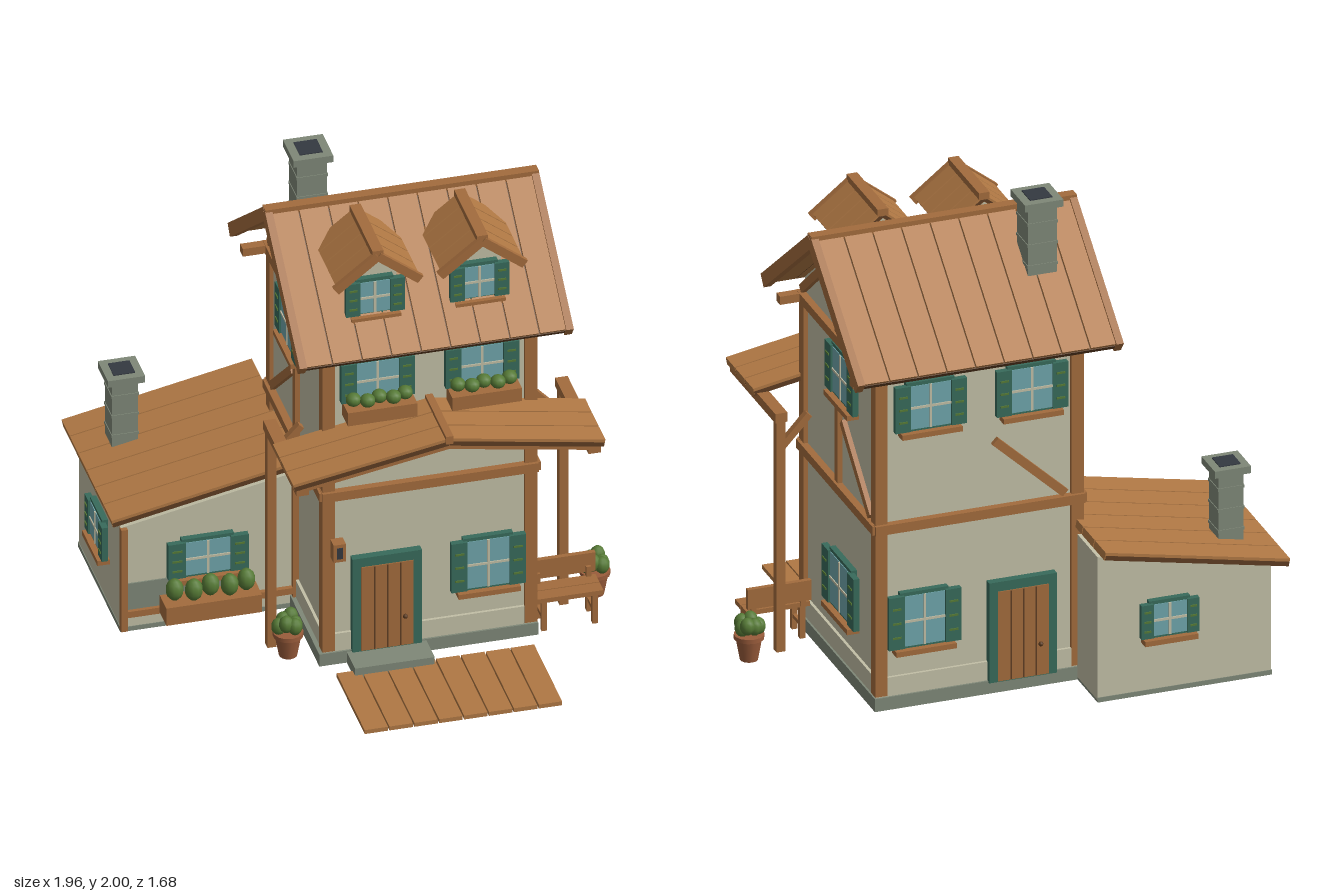
import * as THREE from 'three';

const mat = (name, color, side = THREE.FrontSide) => {
  const m = new THREE.MeshStandardMaterial({ color, side });
  m.name = name;
  return m;
};
const plaster = mat('plaster', 0xc2bfa6), wood = mat('timber', 0xa36c3d), roofWood = mat('roofWood', 0xb07844);
const darkWood = mat('darkWood', 0x5e3d22), stone = mat('stone', 0x7f8878), soot = mat('soot', 0x343941);
const teal = mat('tealPaint', 0x386b5b), glass = mat('glass', 0x6fa5ab), leaf = mat('leaf', 0x567a36);
const clay = mat('clay', 0x9a5c3b);

const group = (parent, name) => {
  const g = new THREE.Group();
  g.name = name;
  parent.add(g);
  return g;
};
const add = (parent, name, geo, m, x = 0, y = 0, z = 0) => {
  const mesh = new THREE.Mesh(geo, m);
  mesh.name = name;
  mesh.position.set(x, y, z);
  parent.add(mesh);
  return mesh;
};
const box = (p, name, m, w, h, d, x, y, z) => add(p, name, new THREE.BoxGeometry(w, h, d), m, x, y, z);
// Box given by its minimum and maximum corners
const span = (p, name, m, x0, x1, y0, y1, z0, z1) =>
  box(p, name, m, x1 - x0, y1 - y0, z1 - z0, (x0 + x1) / 2, (y0 + y1) / 2, (z0 + z1) / 2);
// Timber between two points of an xy plane
const bar = (p, name, x0, y0, x1, y1, w = 0.035, d = 0.03, z = 0.005) => {
  const b = box(p, name, wood, Math.hypot(x1 - x0, y1 - y0), w, d, (x0 + x1) / 2, (y0 + y1) / 2, z);
  b.rotation.z = Math.atan2(y1 - y0, x1 - x0);
  return b;
};
const prism = (p, name, m, pts, depth) => {
  const shape = new THREE.Shape(pts.map(([x, y]) => new THREE.Vector2(x, y)));
  return add(p, name, new THREE.ExtrudeGeometry(shape, { depth, bevelEnabled: false }), m);
};

// Sloping planks over a dark backing; (h, y) runs from a to b, planks repeat along the axis
function slope(parent, name, axis, a, b, from, to, n, t) {
  const g = group(parent, name);
  const dh = b[0] - a[0], dy = b[1] - a[1], L = Math.hypot(dh, dy);
  const h = (a[0] + b[0]) / 2, y = (a[1] + b[1]) / 2, step = (to - from) / n;
  const slab = (label, m, c, w, len, thick, drop) => {
    const onX = axis === 'x';
    const s = onX ? box(g, label, m, w, thick, len, c, y - drop, h) : box(g, label, m, len, thick, w, h, y - drop, c);
    if (onX) s.rotation.x = Math.atan2(-dy, dh);
    else s.rotation.z = Math.atan2(dy, dh);
  };
  slab('roofBacking', darkWood, (from + to) / 2, to - from - 0.004, L - 0.004, t * 0.6, t * 0.2);
  for (let i = 0; i < n; i++) slab('roofPlank', roofWood, from + (i + 0.5) * step, step - 0.006, L, t, 0);
  return g;
}

// Wall frame whose local +z points outward
function wall(parent, name, x, z, turn) {
  const g = group(parent, name);
  g.position.set(x, 0, z);
  g.rotation.y = turn;
  return g;
}

function bushes(parent, cx, y, z, n, gap, r, tall) {
  for (let i = 0; i < n; i++) {
    const b = add(parent, 'bush', new THREE.SphereGeometry(r, 10, 7), leaf, cx + (i - (n - 1) / 2) * gap, y, z + (i % 2 ? 0.012 : -0.008));
    b.scale.y = tall;
  }
}

// Shuttered window; w is the pane width, y0..y1 the full height
function windowUnit(parent, x, y0, y1, w, shutter, flowers = false) {
  const g = group(parent, 'window');
  g.position.set(x, 0, 0);
  const h = y1 - y0, cy = (y0 + y1) / 2;
  box(g, 'windowFrame', teal, w + 0.03, h, 0.03, 0, cy, 0.01);
  box(g, 'pane', glass, w, h - 0.03, 0.008, 0, cy, 0.024);
  box(g, 'mullion', plaster, 0.01, h - 0.03, 0.008, 0, cy, 0.028);
  box(g, 'glazingBar', plaster, w, 0.01, 0.008, 0, cy, 0.028);
  for (const s of [-1, 1]) {
    const sx = s * (w / 2 + shutter / 2);
    box(g, 'shutter', teal, shutter, h - 0.02, 0.025, sx, cy, 0.024);
    for (let i = -1; i <= 1; i++) box(g, 'slat', leaf, shutter * 0.55, 0.008, 0.006, sx, cy + i * h * 0.25, 0.037);
  }
  if (flowers) {
    box(g, 'flowerBox', wood, w + 0.11, 0.06, 0.09, 0, y0 - 0.02, 0.06);
    bushes(g, 0, y0 + 0.035, 0.06, 5, 0.052, 0.031, 0.9);
  } else box(g, 'sill', wood, w + 0.08, 0.022, 0.05, 0, y0 - 0.005, 0.025);
}

function door(parent, x) {
  const g = group(parent, 'door');
  g.position.x = x;
  box(g, 'doorFrame', teal, 0.28, 0.43, 0.04, 0, 0.265, 0.012);
  box(g, 'doorLeaf', wood, 0.21, 0.385, 0.02, 0, 0.247, 0.026);
  for (let i = -1; i <= 1; i++) box(g, 'doorSeam', darkWood, 0.005, 0.38, 0.004, i * 0.052, 0.247, 0.036);
  add(g, 'doorKnob', new THREE.SphereGeometry(0.01, 8, 6), darkWood, 0.07, 0.19, 0.042);
}

function chimney(parent, x, z, y0, y1, w, cap) {
  const g = group(parent, 'chimney');
  box(g, 'chimneyStack', stone, w, y1 - y0 - 0.02, w, x, (y0 + y1 - 0.02) / 2, z);
  for (let y = y0 + 0.08; y < y1 - 0.06; y += 0.09) box(g, 'stoneCourse', stone, w + 0.006, 0.012, w + 0.006, x, y, z);
  box(g, 'chimneyCap', stone, cap, 0.03, cap, x, y1 - 0.018, z);
  box(g, 'flue', soot, cap * 0.58, 0.006, cap * 0.58, x, y1 - 0.002, z);
}

function pottedPlant(parent, x, z) {
  const g = group(parent, 'pottedPlant');
  g.position.set(x, 0, z);
  add(g, 'pot', new THREE.CylinderGeometry(0.054, 0.036, 0.1, 14), clay, 0, 0.05, 0);
  add(g, 'potRim', new THREE.CylinderGeometry(0.06, 0.06, 0.018, 14), clay, 0, 0.1, 0);
  for (let i = 0; i < 6; i++) {
    const a = i * Math.PI / 3, r = i % 2 ? 0.038 : 0.028;
    const b = add(g, 'leaves', new THREE.SphereGeometry(0.03, 9, 7), leaf, Math.cos(a) * r, 0.137 + (i % 3) * 0.01, Math.sin(a) * r);
    b.scale.y = 1.2;
  }
}

export function createModel() {
  const model = new THREE.Group();
  model.name = 'cottage';
  const X0 = -0.22, X1 = 0.61, ZF = 0.31, ZB = -0.5, ZR = -0.09;

  // Main body, gabled along z
  const body = prism(model, 'houseBody', plaster, [[-ZF, 0.04], [-ZB, 0.04], [-ZB, 1.5], [-ZR, 1.81], [-ZF, 1.5]], X1 - X0);
  body.rotation.y = Math.PI / 2;
  body.position.x = X0;
  span(model, 'foundation', stone, -0.25, 0.63, 0, 0.055, -0.52, 0.33);
  span(model, 'plinth', plaster, X0 - 0.012, X1 + 0.012, 0.05, 0.135, ZB - 0.012, ZF + 0.012);
  span(model, 'doorStep', stone, -0.14, 0.18, 0, 0.05, 0.32, 0.455);
  for (const x of [X0 + 0.008, X1 - 0.008]) for (const z of [ZF - 0.008, ZB + 0.008])
    box(model, 'cornerPost', wood, 0.05, 1.38, 0.05, x, 0.75, z);
  for (const z of [ZF, ZB]) span(model, 'eaveBeam', wood, -0.34, 0.72, 1.405, 1.44, z - 0.02, z + 0.02);

  // Front and back walls
  const front = wall(model, 'frontWall', 0, ZF, 0), back = wall(model, 'backWall', 0, ZB, Math.PI);
  for (const [w, s] of [[front, 1], [back, -1]]) {
    bar(w, 'floorBeam', s * (X0 - 0.02), 0.78, s * (X1 + 0.02), 0.78, 0.04, 0.05);
    door(w, s * 0.02);
    windowUnit(w, s * 0.427, 0.25, 0.495, 0.17, 0.065);
    for (const x of [-0.018, 0.402]) windowUnit(w, s * x, s > 0 ? 1.2 : 1.18, 1.395, 0.17, 0.063, s > 0);
  }
  bar(back, 'brace', -0.13, 1.08, 0.16, 0.81);
  const lantern = group(front, 'lantern');
  box(lantern, 'lanternBody', wood, 0.05, 0.08, 0.05, -0.18, 0.54, 0.04);
  box(lantern, 'lanternLight', soot, 0.024, 0.05, 0.004, -0.18, 0.54, 0.066);

  // Gable walls
  const sides = [wall(model, 'rightGable', X1, 0, Math.PI / 2), wall(model, 'leftGable', X0, 0, -Math.PI / 2)];
  sides.forEach((w, i) => {
    const s = i ? 1 : -1;
    for (const y of [0.78, 1.422]) bar(w, 'tieBeam', s * 0.33, y, s * -0.52, y, 0.038, 0.05);
    bar(w, 'kingPost', s * ZR, 0.8, s * ZR, 1.8);
    bar(w, 'gableRafter', s * 0.31, 1.45, s * ZR, 1.775);
    bar(w, 'gableRafter', s * -0.49, 1.45, s * ZR, 1.775);
    bar(w, 'brace', s * -0.14, 1.08, s * -0.45, 0.81);
    windowUnit(w, s * -0.16, 1.17, 1.39, 0.18, 0.065);
  });
  windowUnit(sides[0], 0.148, 0.25, 0.495, 0.21, 0.072);

  // Main roof with bargeboards and ridge
  for (const z of [0.43, -0.61]) {
    slope(model, 'mainRoof', 'x', [z, 1.455], [ZR, 1.855], -0.345, 0.725, 9, 0.035);
    for (const x of [-0.346, 0.726]) {
      const b = box(model, 'bargeboard', wood, 0.03, 0.055, 0.665, x, 1.652, (z + ZR) / 2);
      b.rotation.x = Math.atan2(-0.4, ZR - z);
    }
  }
  span(model, 'ridgeBeam', wood, -0.36, 0.74, 1.85, 1.88, ZR - 0.022, ZR + 0.022);
  chimney(model, -0.13, -0.285, 1.55, 2, 0.12, 0.16);

  // Dormers
  for (const cx of [-0.018, 0.402]) {
    const d = group(model, 'dormer');
    d.position.x = cx;
    prism(d, 'dormerBody', plaster, [[-0.095, 1.54], [0.095, 1.54], [0.095, 1.77], [0, 1.855], [-0.095, 1.77]], 0.27);
    const face = wall(d, 'dormerFace', 0, 0.27, 0);
    windowUnit(face, 0, 1.57, 1.74, 0.12, 0.058);
    for (const s of [-1, 1]) {
      slope(d, 'dormerRoof', 'z', [s * 0.16, 1.745], [0, 1.87], 0, 0.335, 4, 0.024);
      bar(d, 'dormerBargeboard', s * 0.17, 1.737, 0, 1.87, 0.036, 0.02, 0.34);
    }
    span(d, 'dormerRidge', wood, -0.022, 0.022, 1.865, 1.895, 0, 0.345);
  }

  // Porch canopy on side posts
  const porch = group(model, 'porch'), PX = 0.195;
  for (const s of [-1, 1]) {
    const x = PX + s * 0.587;
    slope(porch, 'porchRoof', 'z', [PX + s * 0.625, 1.035], [PX, 1.145], 0.31, 0.62, 3, 0.032);
    span(porch, 'porchPost', wood, x - 0.018, x + 0.018, 0, 1.02, 0.115, 0.15);
    span(porch, 'porchBeam', wood, x - 0.025, x + 0.025, 0.99, 1.03, 0.11, 0.61);
    bar(porch, 'postBrace', x, 0.87, x - s * 0.12, 1.0, 0.028, 0.028, 0.132);
    bar(porch, 'canopyRafter', PX + s * 0.6, 1.02, PX, 1.125, 0.03, 0.025, 0.6);
  }
  span(porch, 'porchRidge', wood, PX - 0.015, PX + 0.015, 1.14, 1.175, 0.31, 0.625);

  // Side annex with lean-to roof
  const annex = group(model, 'annex');
  prism(annex, 'annexBody', plaster, [[-0.93, 0.01], [-0.21, 0.01], [-0.21, 0.625], [-0.93, 0.48]], 0.63).position.z = -0.74;
  span(annex, 'annexBase', stone, -0.933, -0.21, 0, 0.02, -0.743, -0.107);
  slope(annex, 'annexRoof', 'z', [-0.97, 0.518], [-0.205, 0.672], -0.84, -0.085, 6, 0.032);
  const aFront = wall(annex, 'annexFront', 0, -0.11, 0);
  bar(aFront, 'annexPost', -0.92, 0.01, -0.92, 0.48, 0.026);
  bar(aFront, 'annexPost', -0.23, 0.01, -0.23, 0.615, 0.026);
  bar(aFront, 'annexBeam', -0.92, 0.085, -0.22, 0.085, 0.028);
  box(aFront, 'stonePanel', stone, 0.38, 0.12, 0.008, -0.717, 0.16, 0.002);
  windowUnit(aFront, -0.587, 0.22, 0.4, 0.18, 0.072);
  box(aFront, 'flowerTrough', wood, 0.385, 0.08, 0.1, -0.588, 0.12, 0.075);
  bushes(aFront, -0.588, 0.205, 0.075, 5, 0.072, 0.036, 1.3);
  windowUnit(wall(annex, 'annexBack', 0, -0.74, Math.PI), 0.5, 0.245, 0.41, 0.14, 0.05);
  windowUnit(wall(annex, 'annexSide', -0.93, 0, -Math.PI / 2), -0.39, 0.225, 0.4, 0.15, 0.055);
  chimney(annex, -0.793, -0.61, 0.53, 0.885, 0.105, 0.15);

  // Plank path
  for (let i = 0; i < 8; i++) span(model, 'pathPlank', roofWood, -0.205 + i * 0.1, -0.111 + i * 0.1, 0, 0.018, 0.42, 0.84);

  // Bench beside the house
  const bench = group(model, 'bench');
  for (let i = 0; i < 2; i++) span(bench, 'seatSlat', wood, 0.63, 0.895, 0.135, 0.155, 0.2 + i * 0.062, 0.258 + i * 0.062);
  span(bench, 'benchBack', wood, 0.63, 0.895, 0.17, 0.255, 0.18, 0.2);
  for (const x of [0.66, 0.865]) {
    for (const z of [0.21, 0.3]) box(bench, 'benchLeg', wood, 0.022, 0.14, 0.022, x, 0.07, z);
    span(bench, 'backSupport', wood, x - 0.01, x + 0.01, 0.14, 0.2, 0.19, 0.212);
    span(bench, 'legRail', wood, x - 0.008, x + 0.008, 0.05, 0.066, 0.21, 0.3);
  }
  pottedPlant(model, 0.92, 0.1);
  pottedPlant(model, -0.345, 0.215);
  return model;
}
